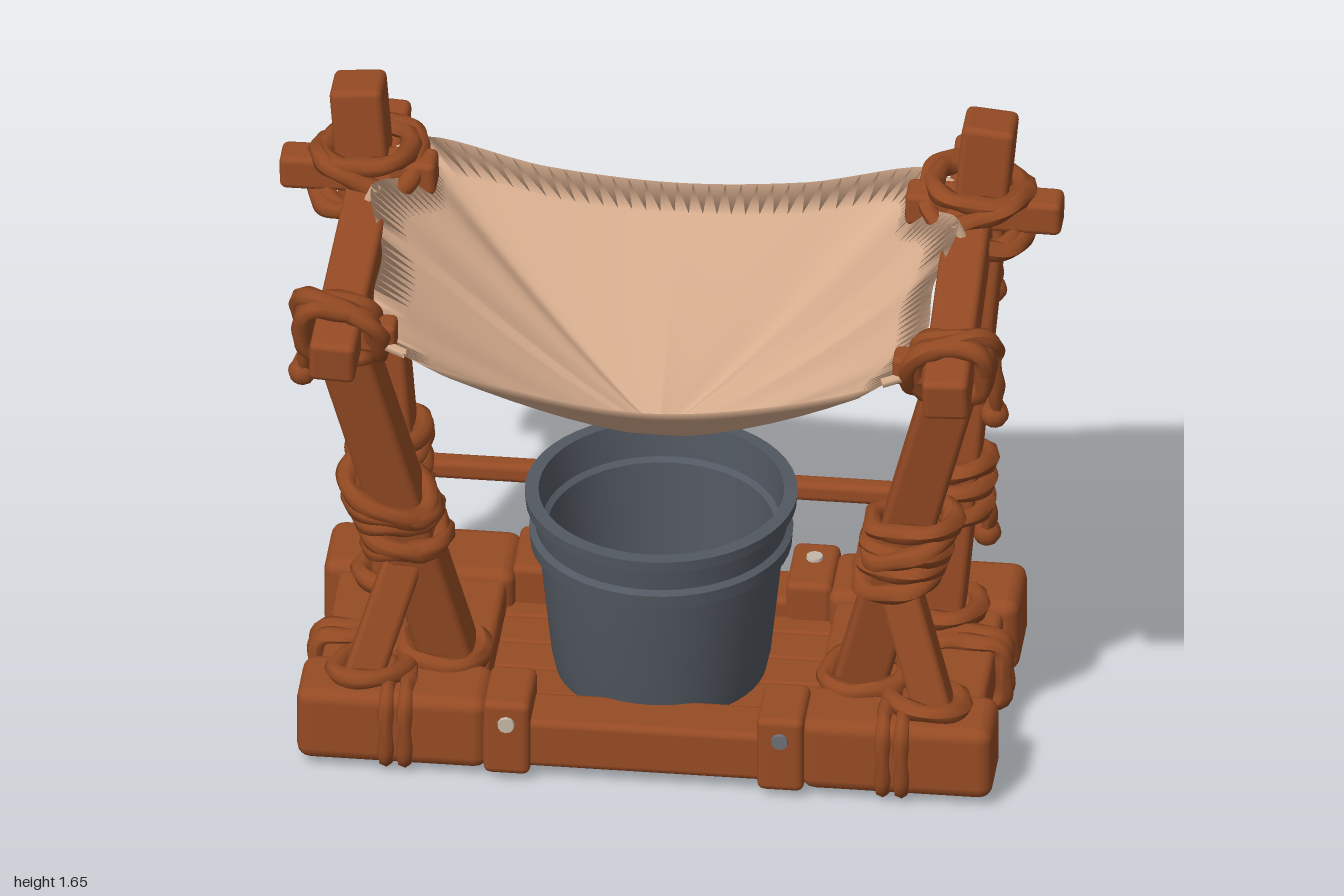
import * as THREE from 'three';
import { toCreasedNormals } from 'three/addons/utils/BufferGeometryUtils.js';
import { RoundedBoxGeometry } from 'three/addons/geometries/RoundedBoxGeometry.js';

const V = (x, y, z) => new THREE.Vector3(x, y, z);

export function createModel() {
  const model = new THREE.Group();
  const mat = (name, color, side = THREE.FrontSide) => {
    const m = new THREE.MeshStandardMaterial({ color, side });
    m.name = name;
    return m;
  };
  const wood = mat('wood', 0x964b24);
  const hemp = mat('rope', 0x924922);
  const iron = mat('bucket grey', 0x525861);
  const canvas = mat('canvas', 0xd7ad8e, THREE.DoubleSide);
  const paleBolt = mat('pale bolt', 0xc4b8a8);
  const greyBolt = mat('grey bolt', 0x6c7076);

  const add = (name, geometry, material) => {
    const mesh = new THREE.Mesh(geometry, material);
    mesh.name = name;
    model.add(mesh);
    return mesh;
  };
  // bevelled block given by its limits
  const block = (name, x0, x1, y0, y1, z0, z1, r = 0.02) => {
    const m = add(name, new RoundedBoxGeometry(x1 - x0, y1 - y0, z1 - z0, 2, r), wood);
    m.position.set((x0 + x1) / 2, (y0 + y1) / 2, (z0 + z1) / 2);
    return m;
  };
  // bevelled timber running from a to b
  const beam = (name, a, b, w, d = w) => {
    const dir = b.clone().sub(a);
    const m = add(name, new RoundedBoxGeometry(w, dir.length(), d, 2, 0.018), wood);
    m.position.copy(a).lerp(b, 0.5);
    m.quaternion.setFromUnitVectors(V(0, 1, 0), dir.normalize());
    return m;
  };
  // two-strand twisted rope along a curve
  const rope = (name, pts, r = 0.025, closed = true) => {
    const curve = new THREE.CatmullRomCurve3(pts, closed);
    const len = curve.getLength();
    const segs = Math.ceil(len / 0.013), turns = Math.max(1, Math.round(len / 0.13)), sides = 8;
    const geo = new THREE.TubeGeometry(curve, segs, r, sides, closed);
    const pos = geo.attributes.position, p = V(0, 0, 0);
    for (let i = 0; i <= segs; i++) {
      const c = curve.getPointAt(closed ? (i / segs) % 1 : i / segs);
      for (let j = 0; j <= sides; j++) {
        const k = i * (sides + 1) + j;
        const swell = 1 + 0.14 * Math.cos(2 * (j / sides) * Math.PI * 2 - turns * Math.PI * 2 * i / segs);
        p.fromBufferAttribute(pos, k).sub(c).multiplyScalar(swell).add(c);
        pos.setXYZ(k, p.x, p.y, p.z);
      }
    }
    geo.computeVertexNormals();
    return add(name, geo, hemp);
  };
  // rope loop about c in the plane of u and v; power under 1 squares it off
  const loop = (name, c, u, v, power = 0.85, r = 0.025) => {
    const pts = [];
    for (let i = 0; i < 16; i++) {
      const t = i / 16 * Math.PI * 2, co = Math.cos(t), si = Math.sin(t);
      pts.push(c.clone()
        .addScaledVector(u, Math.sign(co) * Math.abs(co) ** power)
        .addScaledVector(v, Math.sign(si) * Math.abs(si) ** power));
    }
    return rope(name, pts, r);
  };
  // hanging rope end with a drop-shaped knot
  const tail = (name, top, length, drift = 0) => {
    const end = top.clone().add(V(0, -length, drift));
    rope(name, [top, top.clone().lerp(end, 0.5).add(V(0.008, 0, 0.008)), end], 0.02, false);
    const knot = add(name + 'Knot', new THREE.SphereGeometry(0.037, 10, 8), hemp);
    knot.position.copy(end);
    const neck = add(name + 'Neck', new THREE.ConeGeometry(0.033, 0.08, 10), hemp);
    neck.position.copy(end).add(V(0, 0.05, 0));
  };

  // floor planks and rails
  for (let i = 0; i < 5; i++) {
    const z = -0.24 + i * 0.12;
    block('floorPlank', -0.84, 0.84, 0.05 + (i % 2) * 0.006, 0.13, z - 0.058, z + 0.058, 0.01);
  }
  block('frontRail', -0.5, 0.5, 0.04, 0.18, 0.24, 0.39);
  block('backRail', -0.5, 0.5, 0.04, 0.18, -0.4, -0.25);

  for (const s of [-1, 1]) {
    const P = (x, y, z) => V(s * x, y, z);
    const span = (name, x0, x1, ...rest) => block(name, Math.min(s * x0, s * x1), Math.max(s * x0, s * x1), ...rest);

    // base
    span('frontBaseBlock', 0.4, 0.89, 0.025, 0.232, 0.2, 0.4, 0.036);
    span('backBaseBlock', 0.4, 0.89, 0.02, 0.232, -0.433, -0.21, 0.036);
    span('sideBaseBlock', 0.42, 0.85, 0.075, 0.205, -0.25, 0.25);
    span('crossStrap', 0.295, 0.405, 0.025, 0.07, -0.44, 0.41);
    span('frontBracket', 0.29, 0.41, 0.025, 0.24, 0.22, 0.41);
    span('backBracket', 0.29, 0.41, 0.025, 0.235, -0.45, -0.24);
    span('backStake', 0.16, 0.24, 0.06, 0.46, -0.37, -0.29, 0.012);
    span('stakeCap', 0.15, 0.25, 0.44, 0.52, -0.385, -0.285, 0.015);
    beam('backBar', P(0.7, 0.53, -0.24), P(0.28, 0.53, -0.24), 0.055);
    span('backBarCap', 0.25, 0.305, 0.49, 0.57, -0.28, -0.2, 0.015);

    // bolts
    const frontBolt = add('frontBolt', new THREE.CylinderGeometry(0.021, 0.023, 0.012, 10), s < 0 ? paleBolt : greyBolt);
    frontBolt.position.set(s * 0.35, 0.18, 0.413);
    frontBolt.rotation.x = Math.PI / 2;
    const backBolt = add('backBolt', new THREE.CylinderGeometry(0.021, 0.023, 0.012, 10), s < 0 ? greyBolt : paleBolt);
    backBolt.position.set(s * 0.35, 0.237, -0.37);

    // uprights and top timbers
    const legTop = P(0.8, 1.31, 0.29), legFoot = P(0.515, 0.17, 0.125);
    const postTop = P(0.81, 1.645, -0.292), postFoot = P(0.68, 0.15, -0.193);
    beam('frontLeg', legFoot, legTop, 0.135);
    beam('legBrace', P(0.745, 0.17, 0.28), P(0.6, 0.64, 0.17), 0.1);
    beam('backPost', postFoot, postTop, 0.135);
    beam('topBeam', P(0.785, 1.3, 0.515), P(0.755, 1.405, -0.515), 0.118);
    beam('topCrossStub', P(0.6, 1.415, -0.24), P(1.0, 1.41, -0.24), 0.095);
    span('frontPeg', 0.635, 0.78, 1.265, 1.345, 0.32, 0.395, 0.015);

    // coils at the brace joint: tight below, looser above
    for (let i = 0; i < 5; i++) {
      const y = 0.58 + i * 0.045, wob = 0.02 * Math.sin(i * 2.3 + s), loose = i > 2 ? 0.02 : 0;
      const c = legFoot.clone().lerp(legTop, (y - 0.17) / 1.14).add(P(0.01, 0, loose));
      loop('legCoil', c, P(0.095 + loose / 2, wob + loose, 0), V(0, -wob, 0.095), 0.75);
    }
    // coils on the back post
    for (let i = 0; i < 4; i++) {
      const y = 0.52 + i * 0.043, wob = 0.018 * Math.cos(i * 1.9 + s);
      const c = postFoot.clone().lerp(postTop, (y - 0.15) / 1.5);
      loop('postCoil', c, P(0.088, wob, 0), V(0, wob, 0.088), 0.75);
    }
    // rope around the feet
    loop('legFootRope', P(0.54, 0.235, 0.14), P(0.1, 0.01, 0), V(0, 0, 0.1));
    loop('braceFootRope', P(0.71, 0.24, 0.26), P(0.09, 0, 0.02), V(0, 0.01, 0.085));
    loop('postFootRope', P(0.685, 0.235, -0.2), P(0.105, 0, 0), V(0, 0.01, 0.1));

    // rope straps round the base blocks
    for (const d of [-0.024, 0.024]) {
      loop('frontBaseStrap', P(0.635 + d, 0.13, 0.3), V(0, 0.101, 0), V(0, 0, 0.098), 0.35, 0.02);
      loop('backBaseStrap', P(0.635 + d, 0.127, -0.322), V(0, 0.103, 0), V(0, 0, 0.108), 0.35, 0.02);
      loop('sideBaseStrap', P(0.78, 0.124, -s * 0.075 + d), P(0.09, 0, 0), V(0, 0.09, 0), 0.4, 0.024);
    }

    // lashing of top beam and back post
    const joint = P(0.78, 1.405, -0.262);
    loop('postLashing', joint, P(0.125, 0.05, 0), V(0, 0.03, 0.13), 0.85);
    loop('postLashing', joint, P(0.13, -0.045, 0), V(0, -0.04, 0.135), 0.85);
    loop('postLashing', joint.clone().add(V(0, -0.06, 0)), P(0.11, 0.015, 0), V(0, -0.01, 0.115));
    loop('postLashing', joint.clone().add(V(0, 0.06, 0)), P(0.11, -0.01, 0), V(0, 0.01, 0.115));

    // lashing of top beam and front leg
    for (const z of [0.335, 0.385]) {
      loop('frontLashing', P(0.785, 1.312, z), P(0.088, 0.01, 0.01), V(0, 0.086, 0.025), 0.55);
    }
    loop('frontLashing', P(0.78, 1.318, 0.35), P(0.108, 0.03, -0.03), V(0, 0.085, 0.05), 0.75);

    // loose ends
    tail('frontTail', P(0.885, 1.34, 0.32), 0.21, -0.035);
    tail('lowerTail', P(0.8, 0.53, -0.27), 0.13, -0.02);
    // canvas ties
    for (const [a, b] of [
      [P(0.64, 1.44, -0.33), P(0.76, 1.42, -0.3)],
      [P(0.74, 1.455, -0.09), P(0.765, 1.4, -0.09)],
      [P(0.61, 1.275, 0.4), P(0.75, 1.31, 0.36)],
    ]) add('canvasTie', new THREE.TubeGeometry(new THREE.LineCurve3(a, b), 2, 0.014, 6), canvas);
  }
  tail('backTail', V(0.8, 1.18, -0.4), 0.13, -0.02);

  // bucket
  const profile = [
    [0, 0.135], [0.268, 0.135], [0.28, 0.19], [0.312, 0.5], [0.333, 0.507], [0.336, 0.545], [0.32, 0.555],
    [0.328, 0.615], [0.345, 0.625], [0.347, 0.655], [0.312, 0.657], [0.302, 0.56], [0.288, 0.55], [0.26, 0.19], [0, 0.19],
  ].map(([x, y]) => new THREE.Vector2(x, y));
  add('bucket', toCreasedNormals(new THREE.LatheGeometry(profile, 48), 0.6), iron);

  // canvas: scalloped rim drawn down to a low centre, upper and lower faces meeting softly at the rim
  const half = [
    [0.33, 1.385, -0.345], [0.655, 1.45, -0.34], [0.655, 1.42, -0.22], [0.75, 1.46, -0.09], [0.705, 1.37, 0.08],
    [0.705, 1.33, 0.25], [0.64, 1.27, 0.33], [0.62, 1.28, 0.41], [0.33, 1.17, 0.38],
  ];
  const rim = new THREE.CatmullRomCurve3([
    V(0, 1.36, -0.345), ...half.map(([x, y, z]) => V(x, y, z)), V(0, 1.12, 0.37),
    ...half.slice().reverse().map(([x, y, z]) => V(-x, y, z)),
  ], true);
  const around = 160, rings = 8, verts = [], index = [];
  for (let i = 0; i <= 2 * rings; i++) {
    const r = 1 - Math.abs(i - rings) / rings;
    const drop = i > rings ? 0.012 : 0;
    for (let j = 0; j < around; j++) {
      const e = rim.getPoint(j / around), side = Math.min(1, Math.abs(e.x) / 0.7);
      const fold = 0.009 * side * side * Math.sin(j / around * Math.PI * 2 * 12) * 6 * r ** 3 * (1 - r);
      const sag = (e.z < 0 ? 0.92 : 1.02) + 0.25 * side;
      verts.push(e.x * r, 0.85 + (e.y - 0.85) * r ** sag + fold - drop, 0.03 + (e.z - 0.03) * r);
      if (i < 2 * rings) {
        const a = i * around + j, b = i * around + (j + 1) % around;
        if (i > 0) index.push(a, b, a + around);
        if (i < 2 * rings - 1) index.push(b, b + around, a + around);
      }
    }
  }
  const cloth = new THREE.BufferGeometry();
  cloth.setAttribute('position', new THREE.Float32BufferAttribute(verts, 3));
  cloth.setIndex(index.reverse());
  cloth.computeVertexNormals();
  add('canopy', cloth, canvas);

  return model;
}
